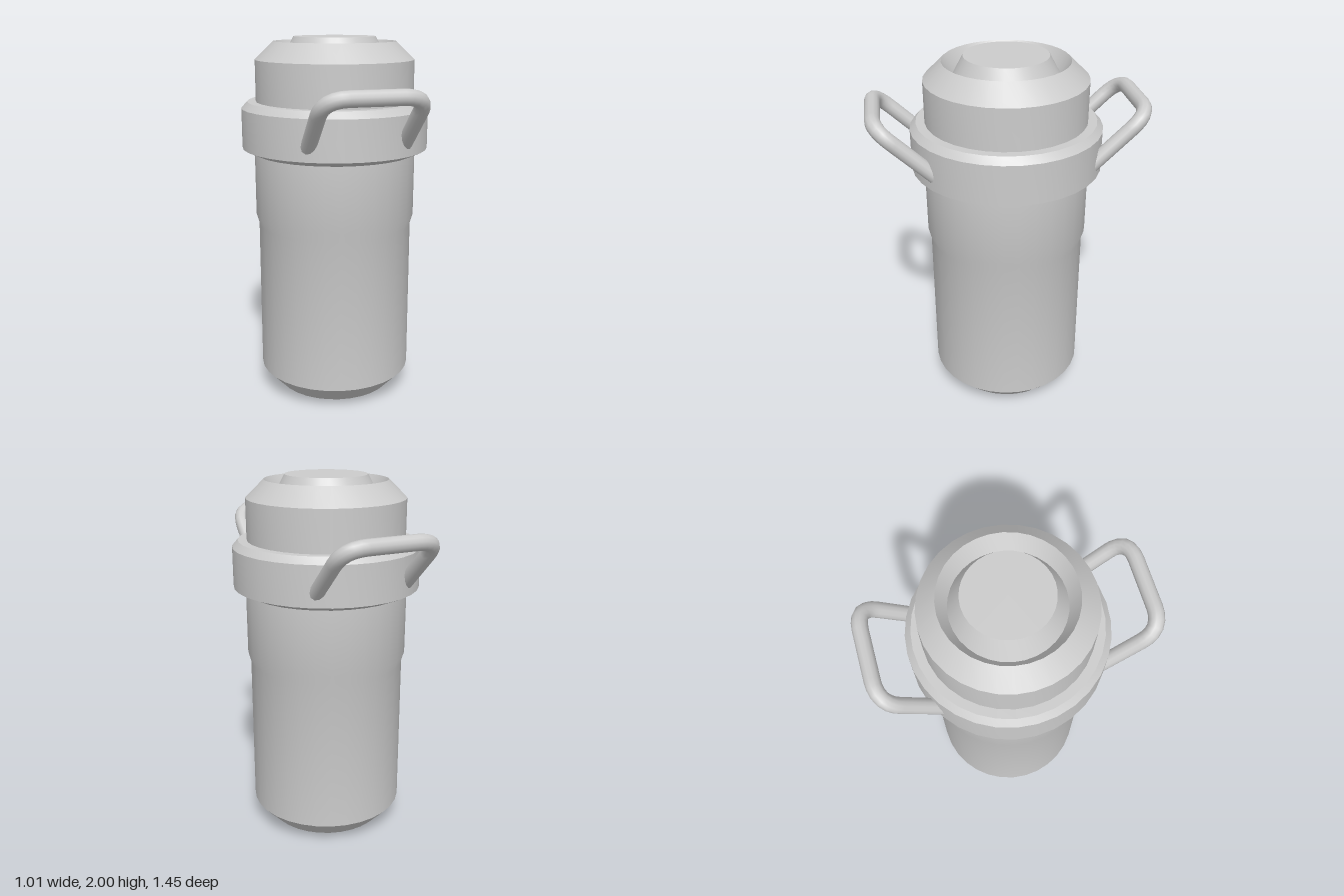
import * as THREE from 'three';
import { toCreasedNormals } from 'three/addons/utils/BufferGeometryUtils.js';

const SIDES = 32;

export function createModel() {
  const group = new THREE.Group();
  const material = new THREE.MeshStandardMaterial({ color: 0xcccccc });

  const add = (name, geometry) => {
    const mesh = new THREE.Mesh(geometry, material);
    mesh.name = name;
    group.add(mesh);
  };

  // Turned part from [radius, height] pairs, bottom to top
  const turned = (name, profile) => {
    const points = profile.map(([r, y]) => new THREE.Vector2(r, y));
    add(name, toCreasedNormals(new THREE.LatheGeometry(points, SIDES), 0.55));
  };

  // Body: raised foot disc, V groove, chamfer, wall with a slight step
  turned('body', [
    [0, 0], [0.22, 0], [0.28, 0.11], [0.33, 0.025], [0.428, 0.13],
    [0.426, 0.98], [0.441, 1.03], [0.441, 1.39],
  ]);

  // Collar around the neck
  turned('collar', [
    [0.42, 1.38], [0.44, 1.38], [0.507, 1.41], [0.507, 1.625],
    [0.475, 1.66], [0.42, 1.66],
  ]);

  // Lid: mirrors the foot with chamfer, V groove and centre disc
  turned('lid', [
    [0.428, 1.64], [0.428, 1.88], [0.33, 1.975], [0.28, 1.89], [0.22, 2], [0, 2],
  ]);

  // Handles: tilted round loops on the front and back
  const handle = (side) => {
    const p = (x, y, z) => new THREE.Vector3(x, y, z * side);
    const path = new THREE.CurvePath();
    path.add(new THREE.LineCurve3(p(-0.255, 1.475, 0.4), p(-0.255, 1.66, 0.595)));
    path.add(new THREE.QuadraticBezierCurve3(
      p(-0.255, 1.66, 0.595), p(-0.255, 1.745, 0.688), p(-0.13, 1.745, 0.688)));
    path.add(new THREE.LineCurve3(p(-0.13, 1.745, 0.688), p(0.13, 1.745, 0.688)));
    path.add(new THREE.QuadraticBezierCurve3(
      p(0.13, 1.745, 0.688), p(0.255, 1.745, 0.688), p(0.255, 1.66, 0.595)));
    path.add(new THREE.LineCurve3(p(0.255, 1.66, 0.595), p(0.255, 1.475, 0.4)));
    return new THREE.TubeGeometry(path, 36, 0.04, 12);
  };
  add('frontHandle', handle(1));
  add('backHandle', handle(-1));

  return group;
}
